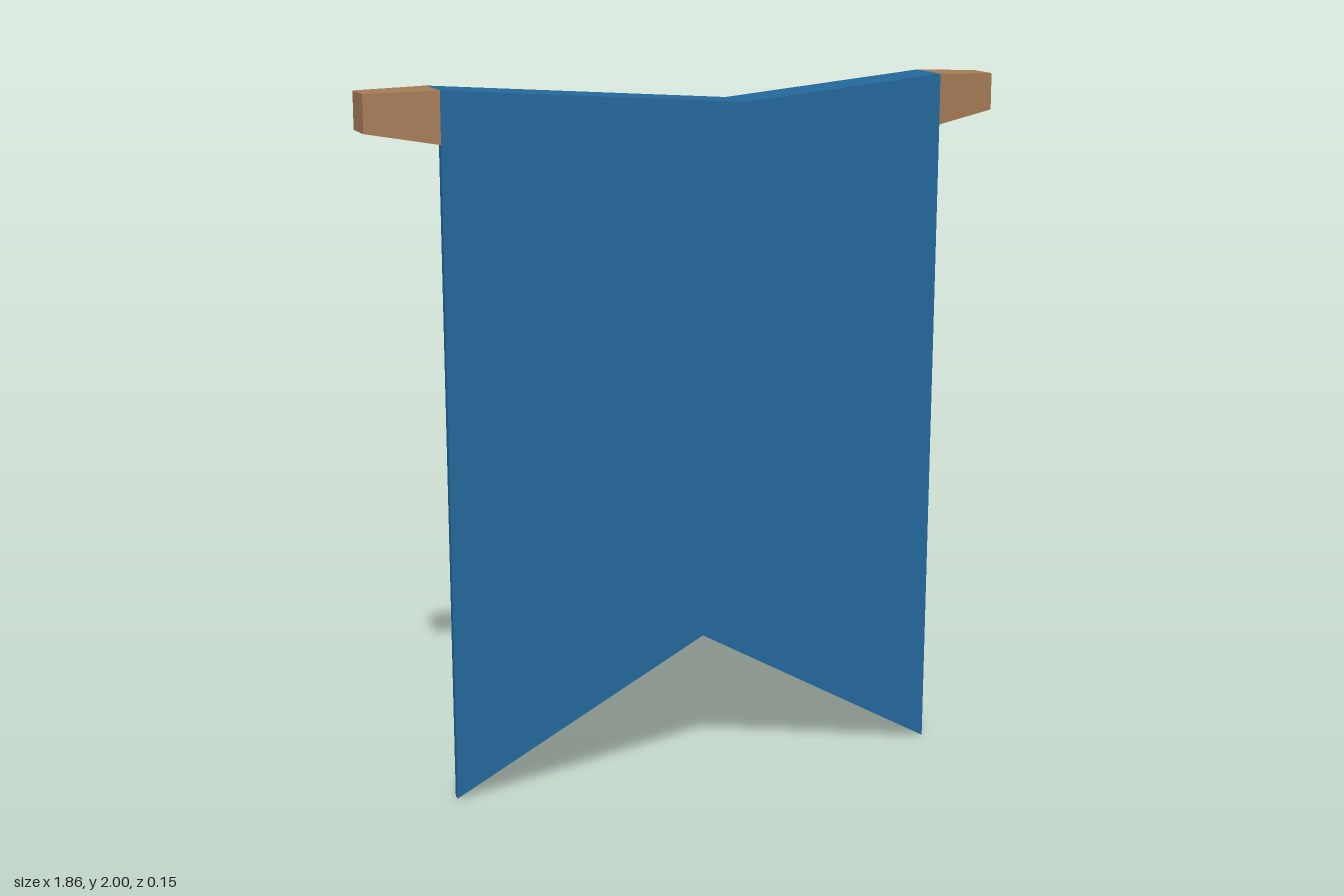
import * as THREE from 'three';

// Flat-faced loft along x; each section is [x, yBottom, yTop, halfDepth]
function loft(sections, capStart, capEnd) {
  const rings = sections.map(([x, y0, y1, d]) => [
    [x, y0, d], [x, y0, -d], [x, y1, -d], [x, y1, d],
  ]);
  const pos = [];
  const quad = (a, b, c, d) => pos.push(...a, ...b, ...c, ...a, ...c, ...d);
  for (let s = 0; s < rings.length - 1; s++) {
    const a = rings[s], b = rings[s + 1];
    for (let i = 0; i < 4; i++) {
      const j = (i + 1) % 4;
      quad(a[i], a[j], b[j], b[i]);
    }
  }
  if (capStart) quad(...[...rings[0]].reverse());
  if (capEnd) quad(...rings[rings.length - 1]);
  const g = new THREE.BufferGeometry();
  g.setAttribute('position', new THREE.Float32BufferAttribute(pos, 3));
  g.computeVertexNormals();
  return g;
}

export function createModel() {
  const group = new THREE.Group();
  const blue = new THREE.MeshStandardMaterial({ color: 0x24689c });
  blue.name = 'blueCloth';
  const wood = new THREE.MeshStandardMaterial({ color: 0xa67c57 });
  wood.name = 'wood';

  const add = (name, geometry, material) => {
    const mesh = new THREE.Mesh(geometry, material);
    mesh.name = name;
    group.add(mesh);
  };

  // Sagging pole: tapered wooden tips and a cloth-wrapped middle
  const rightTip = [-0.93, 1.89, 1.995, 0.056];
  const rightEnd = [-0.725, 1.855, 2.0, 0.077];
  const sag = [0.15, 1.795, 1.94, 0.077];
  const leftEnd = [0.75, 1.855, 2.0, 0.077];
  const leftTip = [0.925, 1.89, 1.995, 0.056];
  add('rightPoleTip', loft([rightTip, rightEnd], true, false), wood);
  add('clothWrap', loft([rightEnd, sag, leftEnd], false, false), blue);
  add('leftPoleTip', loft([leftEnd, leftTip], false, true), wood);

  // Hanging banner with a notched lower edge
  const outline = [
    [-0.72, 0], [0.025, 0.4], [0.74, 0], [0.75, 1.855], [0.15, 1.795], [-0.725, 1.855],
  ];
  const shape = new THREE.Shape(outline.map(([x, y]) => new THREE.Vector2(x, y)));
  const cloth = new THREE.ExtrudeGeometry(shape, { depth: 0.022, bevelEnabled: false });
  cloth.translate(0, 0, 0.055);
  add('hangingBanner', cloth, blue);

  return group;
}
